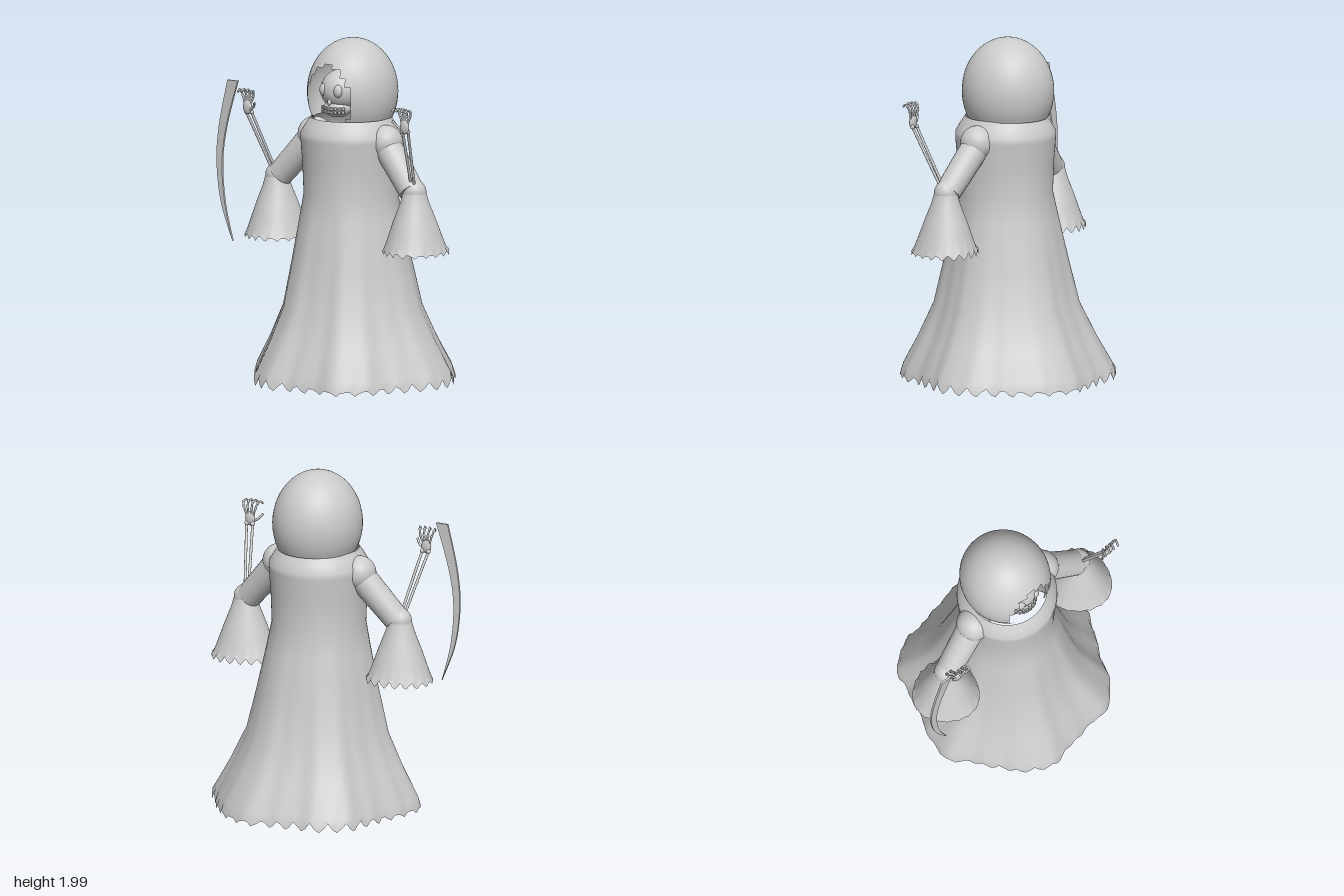
import * as THREE from 'three';
import { RoundedBoxGeometry } from 'three/addons/geometries/RoundedBoxGeometry.js';

const CX = 0.045; // the figure's own axis of symmetry
const V = (x, y, z) => new THREE.Vector3(x, y, z);
const material = new THREE.MeshStandardMaterial({ color: 0xcccccc, side: THREE.DoubleSide });

function add(parent, name, geometry, position = [0, 0, 0], scale = [1, 1, 1]) {
  const mesh = new THREE.Mesh(geometry, material);
  mesh.name = name;
  mesh.position.set(...position);
  mesh.scale.set(...scale);
  parent.add(mesh);
  return mesh;
}

// Surface through closed rings listed from top to bottom; skip(row, column) leaves holes.
function loft(rows, columns, pointAt, skip = () => false) {
  const positions = [], index = [];
  for (let i = 0; i <= rows; i++) {
    for (let j = 0; j < columns; j++) {
      positions.push(...pointAt(i, (j / columns) * Math.PI * 2, j));
      if (i === rows || skip(i, j)) continue;
      const k = (j + 1) % columns;
      const a = i * columns + j, b = i * columns + k;
      index.push(a, a + columns, b, b, a + columns, b + columns);
    }
  }
  const geometry = new THREE.BufferGeometry();
  geometry.setAttribute('position', new THREE.Float32BufferAttribute(positions, 3));
  geometry.setIndex(index);
  geometry.computeVertexNormals();
  return geometry;
}

function tube(points, radius, segments = 8) {
  return new THREE.TubeGeometry(new THREE.CatmullRomCurve3(points), segments, radius, 8);
}

// Cylinder between two points
function limb(parent, name, from, to, r0, r1) {
  const d = to.clone().sub(from);
  const mesh = add(parent, name, new THREE.CylinderGeometry(r1, r0, d.length(), 24));
  mesh.position.copy(from).addScaledVector(d, 0.5);
  mesh.quaternion.setFromUnitVectors(V(0, 1, 0), d.normalize());
}

// Ragged cloth edge: uneven teeth, four columns each
const ragged = (j) => [0, 0.55, 1, 0.5][j % 4] * (0.7 + 0.3 * Math.sin(j * 1.7));

function robe() {
  // Hem radius every 15 degrees, from the front towards the left
  const hem = [0.57, 0.57, 0.625, 0.605, 0.56, 0.575, 0.62, 0.62, 0.585, 0.59, 0.61, 0.615,
    0.57, 0.565, 0.61, 0.62, 0.56, 0.54, 0.575, 0.61, 0.56, 0.565, 0.6, 0.618];
  const hemAt = (a) => {
    const u = (a / (Math.PI * 2)) * 24, i = Math.floor(u);
    const t = (1 - Math.cos((u - i) * Math.PI)) / 2;
    return hem[i % 24] * (1 - t) + hem[(i + 1) % 24] * t;
  };
  // height, round radius, share of the hem outline
  const profile = [[1.545, 0.232, 0], [1.5, 0.262, 0], [1.455, 0.288, 0], [1.42, 0.289, 0],
    [1.28, 0.278, 0], [1.1, 0.268, 0.01], [0.95, 0.268, 0.1], [0.7, 0.268, 0.26],
    [0.45, 0.268, 0.43], [0.25, 0.268, 0.7], [0.09, 0.268, 0.95], [0.01, 0.268, 1]];
  return loft(profile.length - 1, 144, (i, a, j) => {
    const [y, r0, t] = profile[i];
    const r = r0 * (1 - t) + hemAt(a) * t;
    const lift = i === profile.length - 1 ? 0.055 * ragged(j) : 0;
    return [CX + r * Math.sin(a), y + lift, 0.02 * (1 - t) + r * Math.cos(a)];
  });
}

// Ellipsoid hood with a stepped opening at the front
function hood() {
  const columns = 48, rows = 24;
  const halfWidth = { 11: 1, 12: 3, 13: 3, 14: 4, 15: 4, 22: 5, 23: 4 };
  return loft(rows, columns, (i, a) => {
    const t = THREE.MathUtils.degToRad(i * 4.96);
    const r = Math.sin(t);
    return [CX + 0.257 * r * Math.sin(a), 1.69 + 0.31 * Math.cos(t), 0.003 + 0.27 * r * Math.cos(a)];
  }, (i, j) => {
    const fromFront = j < columns / 2 ? j : columns - 1 - j;
    return i >= 11 && fromFront < (halfWidth[i] ?? 5);
  });
}

function skull() {
  const group = new THREE.Group();
  group.name = 'skull';
  group.position.set(CX, 1.71, 0.1);
  const ball = new THREE.SphereGeometry(1, 32, 20);
  add(group, 'cranium', ball, [0, 0, 0], [0.122, 0.12, 0.125]);
  add(group, 'jaw', ball, [0, -0.1, 0.04], [0.085, 0.055, 0.075]);
  for (const s of [-1, 1]) {
    add(group, 'eye', ball, [s * 0.052, 0.006, 0.1], [0.027, 0.038, 0.025]);
  }
  add(group, 'nose', ball, [0, -0.06, 0.115], [0.011, 0.018, 0.014]);
  // Two rows of teeth set round an arc
  const tooth = new RoundedBoxGeometry(0.018, 0.018, 0.014, 2, 0.004);
  for (const y of [-0.097, -0.117]) {
    for (let i = -4; i <= 4; i++) {
      const a = i * 0.24;
      add(group, 'tooth', tooth, [0.092 * Math.sin(a), y, 0.03 + 0.092 * Math.cos(a)]).rotation.y = a;
    }
  }
  return group;
}

function sleeve(x) {
  const profile = [[1.155, 0.068], [1.1, 0.083], [1.0, 0.122], [0.92, 0.15], [0.85, 0.175], [0.8, 0.192]];
  return loft(profile.length - 1, 72, (i, a, j) => {
    const [y, r] = profile[i];
    const t = i / 5;
    const rr = r * (1 + 0.04 * t * Math.sin(3 * a + 0.6));
    return [x + rr * Math.sin(a), y + (i === 5 ? 0.04 * ragged(j) : 0), 0.065 + rr * Math.cos(a)];
  });
}

function arm(s) {
  const group = new THREE.Group();
  group.name = s > 0 ? 'leftArm' : 'rightArm';
  const P = (x, y, z) => V(CX + s * x, y, z); // x measured outward from the axis
  const ball = new THREE.SphereGeometry(1, 32, 20);

  // Shoulder cap, upper arm and bell sleeve
  add(group, 'shoulder', ball, P(0.262, 1.42, 0.025).toArray(), [0.098, 0.1, 0.1]);
  limb(group, 'upperArm', P(0.265, 1.41, 0.025), P(0.485, 1.165, 0.065), 0.084, 0.075);
  add(group, 'elbow', ball, P(0.508, 1.16, 0.065).toArray(), [0.068, 0.072, 0.068]);
  add(group, 'sleeve', sleeve(CX + s * 0.508));

  // Two forearm bones with knobbed ends
  for (const d of [-0.02, 0.02]) {
    const from = P(0.515 + d * 0.6, 1.2, 0.09), to = P(0.578 + d, 1.54, 0.236);
    limb(group, 'forearmBone', from, to, 0.008, 0.008);
    add(group, 'wristKnob', ball, to.toArray(), [0.013, 0.013, 0.013]);
  }

  // Palm, four curled fingers and a thumb
  add(group, 'palm', ball, P(0.58, 1.568, 0.245).toArray(), [0.031, 0.042, 0.016]);
  for (let i = 0; i < 4; i++) {
    const u = i - 1.5, x = 0.58 + u * 0.014;
    const top = 1.668 - Math.abs(u) * 0.004;
    const path = [P(x, 1.585, 0.245), P(x + u * 0.011, 1.632, 0.24), P(x + u * 0.017, top, 0.252),
      P(x + u * 0.018 - 0.008, top + 0.008, 0.272), P(x + u * 0.018 - 0.012, top - 0.006, 0.288)];
    add(group, 'finger', tube(path, 0.006, 12));
    for (const k of [1, 2]) add(group, 'knuckle', ball, path[k].toArray(), [0.0085, 0.0085, 0.0085]);
  }
  add(group, 'thumb', tube([P(0.565, 1.55, 0.248), P(0.53, 1.572, 0.255), P(0.508, 1.6, 0.27)], 0.007));
  return group;
}

// Thin crescent blade
function blade() {
  const shape = new THREE.Shape();
  const p = (x, y) => new THREE.Vector2(x, y);
  shape.moveTo(-0.595, 1.715);
  shape.lineTo(-0.67, 1.715);
  shape.splineThru([p(-0.732, 1.45), p(-0.75, 1.235), p(-0.718, 1.0), p(-0.632, 0.78)]);
  shape.splineThru([p(-0.69, 1.0), p(-0.709, 1.235), p(-0.677, 1.45), p(-0.595, 1.715)]);
  return new THREE.ExtrudeGeometry(shape, { depth: 0.012, bevelEnabled: false, curveSegments: 6 });
}

export function createModel() {
  const model = new THREE.Group();
  model.name = 'hoodedFigure';
  add(model, 'robe', robe());
  add(model, 'hood', hood());
  model.add(skull(), arm(-1), arm(1));
  add(model, 'scytheBlade', blade(), [0, 0, 0.251]);
  return model;
}
